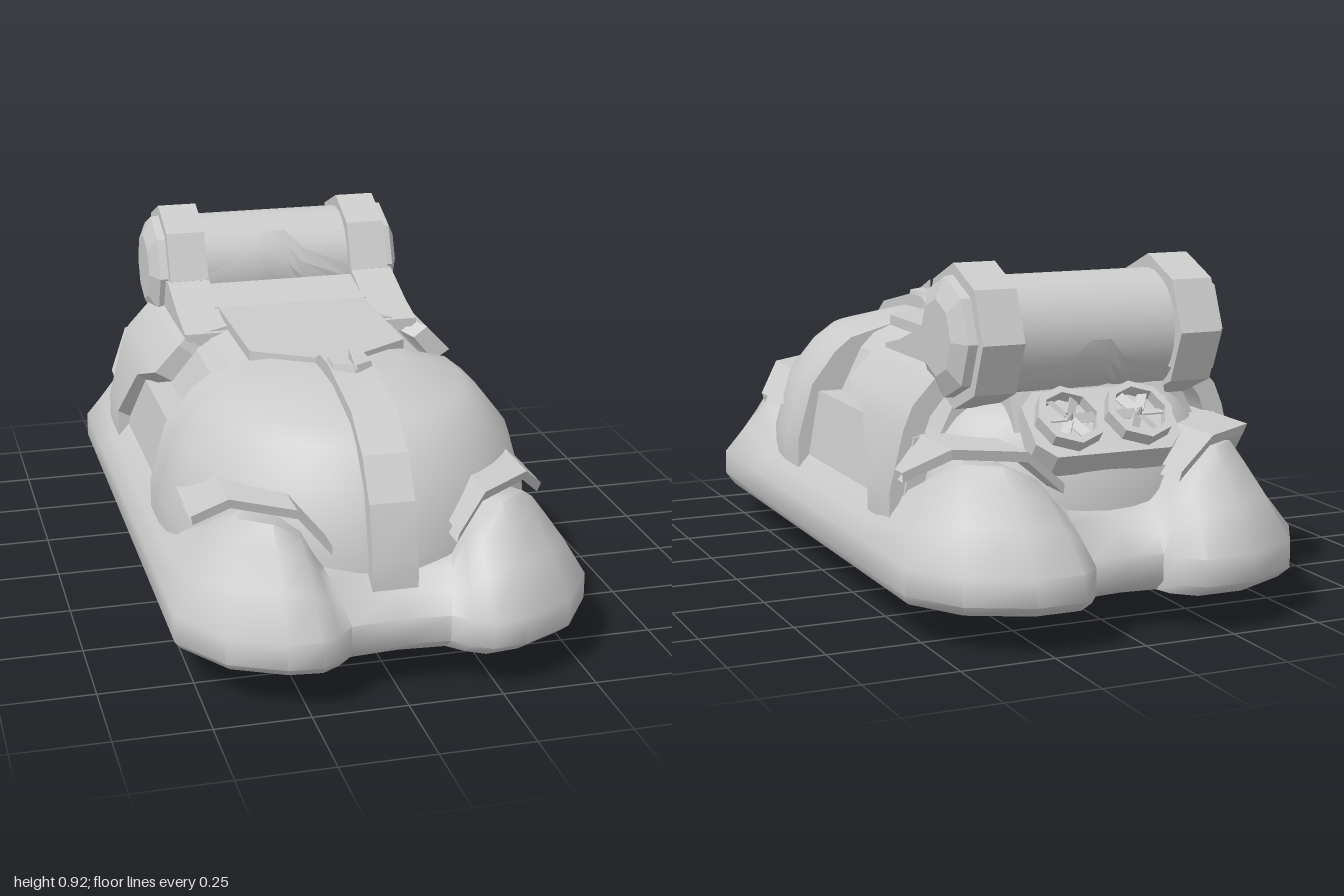
import * as THREE from 'three';
import { toCreasedNormals } from 'three/addons/utils/BufferGeometryUtils.js';

const grey = new THREE.MeshStandardMaterial({ color: 0xcccccc, side: THREE.DoubleSide });

function add(parent, name, geometry, crease = 0.6) {
  const mesh = new THREE.Mesh(toCreasedNormals(geometry, crease), grey);
  mesh.name = name;
  parent.add(mesh);
  return mesh;
}

// Skin over rows of points; every row has the same number of points
function loft(rows) {
  const n = rows[0].length, index = [];
  for (let i = 0; i < rows.length - 1; i++) {
    for (let j = 0; j < n - 1; j++) {
      const a = i * n + j, b = a + 1, c = a + n, d = c + 1;
      index.push(a, b, d, a, d, c);
    }
  }
  const g = new THREE.BufferGeometry();
  g.setAttribute('position', new THREE.Float32BufferAttribute(rows.flat(2), 3));
  g.setIndex(index);
  g.computeVertexNormals();
  return g;
}

const shapeOf = pts => new THREE.Shape(pts.map(p => new THREE.Vector2(...p)));
const extrude = (pts, depth) => new THREE.ExtrudeGeometry(shapeOf(pts), { depth, bevelEnabled: false });

// Side profile given as [z, y], extruded across x from x0 to x1
const sideExtrude = (pts, x0, x1) =>
  extrude(pts.map(([z, y]) => [-z, y]), x1 - x0).rotateY(Math.PI / 2).translate(x0, 0, 0);

// Plan outline given as [x, z], extruded upward from y0
const planExtrude = (pts, y0, h) =>
  extrude(pts.map(([x, z]) => [x, -z]), h).rotateX(-Math.PI / 2).translate(0, y0, 0);

const mirrorX = pts => [...pts, ...pts.slice().reverse().map(([x, ...r]) => [-x, ...r])];

function both(parent, build) {
  for (const s of [1, -1]) {
    const side = new THREE.Group();
    side.name = s > 0 ? 'leftSide' : 'rightSide';
    side.scale.x = s;
    build(side);
    parent.add(side);
  }
}

// Air cushion: outer [x, z] followed by crest [x, y, z], front centre to back centre
function skirt() {
  const half = [
    [0.001, 0.92, 0.001, 0.31, 0.8], [0.13, 0.93, 0.17, 0.31, 0.8], [0.17, 0.97, 0.2, 0.35, 0.81],
    [0.22, 1, 0.23, 0.4, 0.81], [0.31, 0.99, 0.3, 0.44, 0.8], [0.45, 0.92, 0.38, 0.44, 0.74],
    [0.55, 0.77, 0.45, 0.37, 0.62], [0.55, 0.45, 0.47, 0.3, 0.45], [0.55, -0.45, 0.47, 0.3, -0.45],
    [0.55, -0.77, 0.45, 0.37, -0.62], [0.46, -0.92, 0.38, 0.44, -0.74], [0.3, -1, 0.3, 0.44, -0.8],
    [0.17, -1, 0.21, 0.4, -0.81], [0.115, -0.95, 0.16, 0.34, -0.8], [0.1, -0.9, 0.12, 0.31, -0.78],
    [0.001, -0.89, 0.001, 0.31, -0.78],
  ];
  const loop = [...half, ...half.slice().reverse().map(([x, z, tx, ty, tz]) => [-x, z, -tx, ty, tz])];
  loop.push(loop[0]);
  const mix = t => ([x, z, tx, ty, tz]) =>
    [x + (tx - x) * t, 0.2 + (ty - 0.2) * Math.pow(t, 0.85), z + (tz - z) * t];
  const flat = (k, y) => ([x, z]) => [x * k, y, z * k];
  return loft([
    loop.map(() => [0, 0.1, 0]), loop.map(flat(0.965, 0.1)), loop.map(flat(1, 0.13)),
    loop.map(mix(0)), loop.map(mix(0.4)), loop.map(mix(0.75)), loop.map(mix(1)),
    loop.map(([, , x, y, z]) => [x * 0.8, y - 0.02, z * 0.75]),
    loop.map(() => [0, 0.31, 0]),
  ]);
}

// Curved guard arching over a cushion lobe: [x, y, edgeZ]
function lobeGuard(pts, innerZ, t) {
  return loft(pts.map(([x, y, z]) => [
    [x, y, innerZ], [x, y, z], [x * 0.985, y - t, z - Math.sign(z) * 0.01], [x * 0.985, y - t, innerZ], [x, y, innerZ],
  ]));
}

export function createModel() {
  const model = new THREE.Group();
  model.name = 'hovercraft';

  add(model, 'airCushion', skirt(), 0.9);

  // Nose: half dome plus a straight collar
  const profile = [[0.505, 0.26], [0.505, 0.34], [0.46, 0.5], [0.39, 0.59], [0.34, 0.63], [0.17, 0.675], [0, 0.68]];
  const curve = profile.map(p => new THREE.Vector2(...p));
  add(model, 'noseDome', new THREE.LatheGeometry(curve, 20, -Math.PI / 2, Math.PI)
    .scale(1, 1, 1.05).translate(0, 0, 0.3), 0.8);
  add(model, 'noseCollar', extrude(mirrorX(profile.slice(0, 6)), 0.12).translate(0, 0, 0.18), 0.5);

  // Rear body tucked beneath the engine
  add(model, 'rearBody', new THREE.LatheGeometry(curve, 20, Math.PI / 2, Math.PI)
    .translate(0, -0.26, 0).scale(0.86, 0.8, 0.58).translate(0, 0.26, -0.5), 0.8);

  // Mid hull with stepped side recesses
  const hull = [[0.48, 0.26], [0.44, 0.48], [0.37, 0.48], [0.31, 0.6], [0.27, 0.64], [0.22, 0.66]];
  add(model, 'midHull', extrude(mirrorX(hull), 0.76).translate(0, 0, -0.56), 0.3);
  add(model, 'deckPlate', planExtrude(mirrorX([[0.06, 0.28], [0.22, 0.18], [0.22, -0.4]]), 0.65, 0.04), 0.3);
  add(model, 'deckRamp', sideExtrude([[-0.24, 0.66], [-0.24, 0.69], [-0.39, 0.72], [-0.42, 0.66]], -0.23, 0.23), 0.3);
  add(model, 'engineBed', sideExtrude([[-0.36, 0.5], [-0.36, 0.68], [-0.5, 0.62], [-0.66, 0.6], [-0.7, 0.5]], -0.22, 0.22), 0.3);

  // Spine strap running down the nose
  add(model, 'noseStrap', sideExtrude([
    [0.28, 0.66], [0.28, 0.69], [0.33, 0.715], [0.42, 0.715], [0.65, 0.665], [0.76, 0.585], [0.83, 0.48],
    [0.87, 0.34], [0.87, 0.26], [0.82, 0.26], [0.8, 0.36], [0.72, 0.5], [0.6, 0.6],
  ], -0.06, 0.06), 0.3);
  add(model, 'hatch', new THREE.CylinderGeometry(0.06, 0.065, 0.02, 6).translate(0, 0.715, 0.41), 0.3);

  // Thin fins on the centre line
  const fin = (name, pts) => add(model, name, sideExtrude(pts, -0.002, 0.002), 0.3);
  fin('hatchFin', [[0.49, 0.72], [0.41, 0.755], [0.41, 0.72]]);
  fin('keelFin', [[0.22, 0], [0.04, 0.1], [0.04, 0]]);

  both(model, side => {
    // Rear side armour: [x, y, front edge z]
    const armour = [[0.505, 0.26, -0.39], [0.505, 0.34, -0.39], [0.465, 0.5, -0.25], [0.44, 0.56, -0.08],
      [0.37, 0.635, -0.08], [0.34, 0.645, -0.12], [0.22, 0.67, -0.12]];
    add(side, 'sideArmour', loft(armour.map(([x, y, z]) => {
      const ix = x * 0.89, iy = y < 0.3 ? y : y - 0.03;
      return [[x, y, z], [x, y, -0.55], [ix, iy, -0.55], [ix, iy, z], [x, y, z]];
    })), 0.4);

    // Guards over the lobes
    add(side, 'frontGuard', lobeGuard([[0.165, 0.395, 0.87], [0.245, 0.485, 0.83], [0.395, 0.485, 0.72],
      [0.475, 0.405, 0.62]], 0.41, 0.028), 0.3);
    add(side, 'rearGuard', lobeGuard([[0.165, 0.4, -0.87], [0.26, 0.485, -0.86], [0.42, 0.485, -0.76],
      [0.49, 0.4, -0.6]], -0.45, 0.028), 0.3);

    // Engine arm, clamp ring and end cap
    add(side, 'engineArm', sideExtrude([[-0.11, 0.63], [-0.11, 0.655], [-0.22, 0.68], [-0.38, 0.735],
      [-0.5, 0.72], [-0.5, 0.58], [-0.3, 0.6]], 0.22, 0.345), 0.3);
    add(side, 'clampRing', new THREE.CylinderGeometry(0.188, 0.188, 0.115, 8)
      .rotateZ(Math.PI / 2).translate(0.278, 0.735, -0.57), 0.3);
    const cap = [[0, 0.385], [0.1, 0.385], [0.155, 0.36], [0.158, 0.33]].map(p => new THREE.Vector2(...p));
    add(side, 'endCap', new THREE.LatheGeometry(cap, 8).rotateZ(-Math.PI / 2).translate(0, 0.735, -0.57), 0.3);

    // Rear fan: octagonal rim, recessed disc, blades and hub
    const fan = new THREE.Group();
    fan.name = 'fan';
    const ring = new THREE.Shape().setFromPoints(new THREE.Path().absarc(0, 0, 0.092, 0, 2 * Math.PI).getPoints(4));
    ring.holes.push(new THREE.Path().setFromPoints(new THREE.Path().absarc(0, 0, 0.072, 0, 2 * Math.PI).getPoints(4)));
    add(fan, 'fanRim', new THREE.ExtrudeGeometry(ring, { depth: 0.035, bevelEnabled: false }), 0.3);
    add(fan, 'fanBack', new THREE.CircleGeometry(0.08, 8).translate(0, 0, 0.003));
    for (let i = 0; i < 6; i++) {
      add(fan, 'fanBlade', new THREE.BoxGeometry(0.062, 0.026, 0.004)
        .rotateX(0.5).translate(0.04, 0, 0.016).rotateZ(i * Math.PI / 3), 0.3);
    }
    add(fan, 'fanHub', new THREE.ConeGeometry(0.016, 0.04, 6).rotateX(Math.PI / 2).translate(0, 0, 0.025), 0.3);
    fan.position.set(0.098, 0.525, -0.745);
    fan.rotation.set(-0.85, Math.PI, 0, 'YXZ');
    side.add(fan);
  });

  // Sloped housing carrying the fans
  const housing = add(model, 'fanHousing', extrude(
    mirrorX([[0.16, -0.105], [0.205, -0.06], [0.205, 0.06], [0.16, 0.105]]), 0.08).translate(0, 0, -0.08), 0.3);
  housing.position.set(0, 0.525, -0.745);
  housing.rotation.set(-0.85, Math.PI, 0, 'YXZ');

  // Engine drum with a pointed cradle wrapping beneath it: [x, front angle, rear angle]
  add(model, 'engineDrum', new THREE.CylinderGeometry(0.152, 0.152, 0.66, 24)
    .rotateZ(Math.PI / 2).translate(0, 0.735, -0.57));
  const edge = [[-0.22, 3, -145], [-0.08, 24, -158], [-0.03, 46, -178], [0.03, 46, -178], [0.08, 24, -158], [0.22, 3, -145]];
  add(model, 'drumCradle', loft(edge.map(([x, a, b]) => {
    const row = [];
    for (let i = 0; i <= 12; i++) {
      const t = THREE.MathUtils.degToRad(a + (b - a) * i / 12);
      row.push([x, 0.735 + 0.166 * Math.sin(t), -0.57 + 0.166 * Math.cos(t)]);
    }
    return row;
  })), 0.5);

  return model;
}
